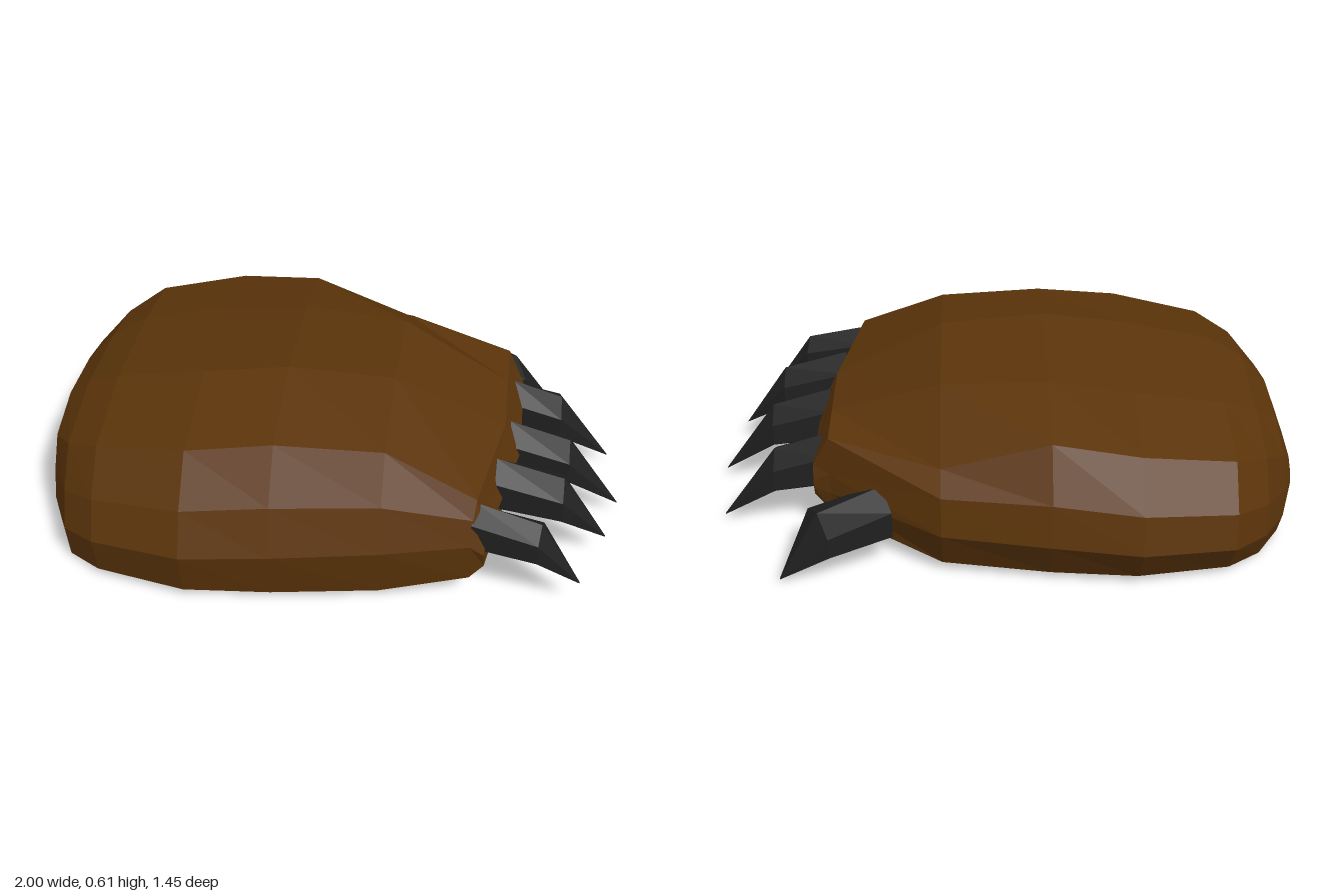
import * as THREE from 'three';

const fur = new THREE.MeshStandardMaterial({ color: 0x5b340a, flatShading: true });
fur.name = 'brown fur';
const horn = new THREE.MeshStandardMaterial({ color: 0x202020, flatShading: true });
horn.name = 'black horn';

// Skins a list of rings (each turning from y towards z) and closes both ends
function loft(rings) {
  const n = rings[0].length;
  const pos = rings.flat().flatMap(p => [p.x, p.y, p.z]);
  const idx = [];
  for (let i = 0; i < rings.length - 1; i++) {
    for (let j = 0; j < n; j++) {
      const a = i * n + j, b = i * n + (j + 1) % n;
      idx.push(a, b, b + n, a, b + n, a + n);
    }
  }
  [0, rings.length - 1].forEach((r, end) => {
    const c = new THREE.Vector3();
    rings[r].forEach(p => c.addScaledVector(p, 1 / n));
    const k = pos.length / 3;
    pos.push(c.x, c.y, c.z);
    for (let j = 0; j < n; j++) {
      const a = r * n + j, b = r * n + (j + 1) % n;
      if (end) idx.push(k, a, b); else idx.push(k, b, a);
    }
  });
  let g = new THREE.BufferGeometry();
  g.setAttribute('position', new THREE.Float32BufferAttribute(pos, 3));
  g.setIndex(idx);
  g = g.toNonIndexed();
  g.computeVertexNormals();
  return g;
}

// Cross-sections as (side, height): rounded for the hand, squarer at the knuckles
const ROUND = [[0.24, 1], [0.73, 0.88], [0.91, 0.6], [1, 0.32], [0.95, 0], [0, 0],
  [-0.85, 0], [-1, 0.3], [-0.96, 0.55], [-0.8, 0.83], [-0.38, 0.94]];
const SQUARE = [[0.2, 1], [0.89, 1], [0.95, 0.8], [1, 0.5], [0.97, 0], [0, 0],
  [-0.95, 0], [-1, 0.3], [-1, 0.55], [-0.95, 1], [-0.4, 1]];
const BACK_SHOULDER = 9;

// x, +z reach, -z reach, low y, high y, squareness, skew of the front end, back shoulder drop
const STATIONS = [
  [-1.0, 0.2, 0.31, 0.15, 0.28, 0, 0, 0],
  [-0.965, 0.38, 0.4, 0.01, 0.37, 0, 0, 0],
  [-0.88, 0.56, 0.55, 0.01, 0.45, 0, 0, 0],
  [-0.76, 0.65, 0.67, 0.03, 0.51, 0, 0, 0],
  [-0.45, 0.72, 0.73, 0.035, 0.57, 0, 0, 0],
  [-0.16, 0.69, 0.69, 0.03, 0.61, 0, 0, 0],
  [0.2, 0.64, 0.62, 0.04, 0.585, 0.15, 0, 0.11],
  [0.58, 0.59, 0.34, 0.1, 0.4, 1, 0.2, 0],
  [0.64, 0.59, 0.31, 0.16, 0.28, 1, 0.23, 0],
];

function station([x, zf, zb, lo, hi, k, skew, drop]) {
  return ROUND.map(([u, v], i) => {
    const s = THREE.MathUtils.lerp(u, SQUARE[i][0], k);
    const t = THREE.MathUtils.lerp(v, SQUARE[i][1], k);
    const z = s * (s > 0 ? zf : zb);
    const y = lo + (hi - lo) * t - (i === BACK_SHOULDER ? drop : 0);
    return new THREE.Vector3(x - skew * Math.max(0, z - 0.15), y, z);
  });
}

// Ridged six-sided claw: straight-sided from root to middle, then a sharp tip
function claw(root, mid, tip, w, h) {
  const dir = new THREE.Vector3(tip[0] - root[0], 0, tip[2] - root[2]).normalize();
  const side = new THREE.Vector3(-dir.z, 0, dir.x);
  const ring = (c, a, b) => [[0, 1], [1, 0.45], [1, -0.5], [0, -1], [-1, -0.5], [-1, 0.45]].map(
    ([s, t]) => new THREE.Vector3(...c).addScaledVector(side, s * a).add(new THREE.Vector3(0, t * b, 0)));
  return loft([ring(root, w * 0.88, h), ring(mid, w, h * 0.78), ring(tip, 0.002, 0.002)]);
}

// Flat pad with bevelled rim, facing down
function padGeometry(points, depth, bevel) {
  const shape = new THREE.Shape(points.map(p => new THREE.Vector2(...p)));
  return new THREE.ExtrudeGeometry(shape, {
    depth, bevelEnabled: true, bevelThickness: bevel, bevelSize: bevel, bevelOffset: -bevel, bevelSegments: 1,
  }).rotateX(Math.PI / 2);
}

export function createModel() {
  const model = new THREE.Group();
  model.name = 'paw';
  const add = (name, geometry, material) => {
    const m = new THREE.Mesh(geometry, material);
    m.name = name;
    model.add(m);
    return m;
  };

  add('pawBody', loft(STATIONS.map(station)), fur);

  // Four finger claws and the splayed thumb claw
  [
    [[0.5, 0.28, 0.515], [0.72, 0.25, 0.537], [0.86, 0.115, 0.567], 0.062, 0.1],
    [[0.56, 0.285, 0.295], [0.79, 0.245, 0.295], [0.95, 0.09, 0.3], 0.078, 0.105],
    [[0.6, 0.265, 0.06], [0.81, 0.225, 0.06], [1.0, 0.04, 0.057], 0.078, 0.105],
    [[0.6, 0.245, -0.21], [0.78, 0.21, -0.21], [0.97, 0.03, -0.225], 0.08, 0.105],
    [[0.4, 0.185, -0.44], [0.61, 0.16, -0.525], [0.74, 0.02, -0.59], 0.1, 0.1],
  ].forEach((c, i) => add('claw' + (i + 1), claw(...c), horn));

  // Palm pad under the hand
  const palm = add('palmPad', padGeometry([[0.125, 0.525], [0.235, 0.235], [0.27, -0.13], [-0.035, -0.45],
    [-0.47, -0.46], [-0.6, -0.31], [-0.64, 0.38], [-0.25, 0.5]], 0.03, 0.012), horn);
  palm.position.y = 0.06;
  palm.rotation.z = 0.03;

  // Toe pads in an arc in front of the palm: x, z, turn, length, width
  [
    [0.32, 0.42, -0.15, 0.14, 0.12],
    [0.41, 0.23, -0.1, 0.14, 0.13],
    [0.44, 0.05, 0, 0.14, 0.12],
    [0.4, -0.12, 0.1, 0.15, 0.12],
    [0.28, -0.33, 0.1, 0.19, 0.1],
  ].forEach(([x, z, turn, l, w], i) => {
    const outline = [[-l / 2, -w / 2], [l / 2, -w * 0.45], [l / 2, w * 0.45], [-l / 2, w / 2]];
    const toe = add('toePad' + (i + 1), padGeometry(outline, 0.03, 0.01), horn);
    toe.position.set(x, 0.07 + (x - 0.28) * 0.16, z);
    toe.rotation.set(0, turn, 0.16, 'ZYX');
  });

  return model;
}
